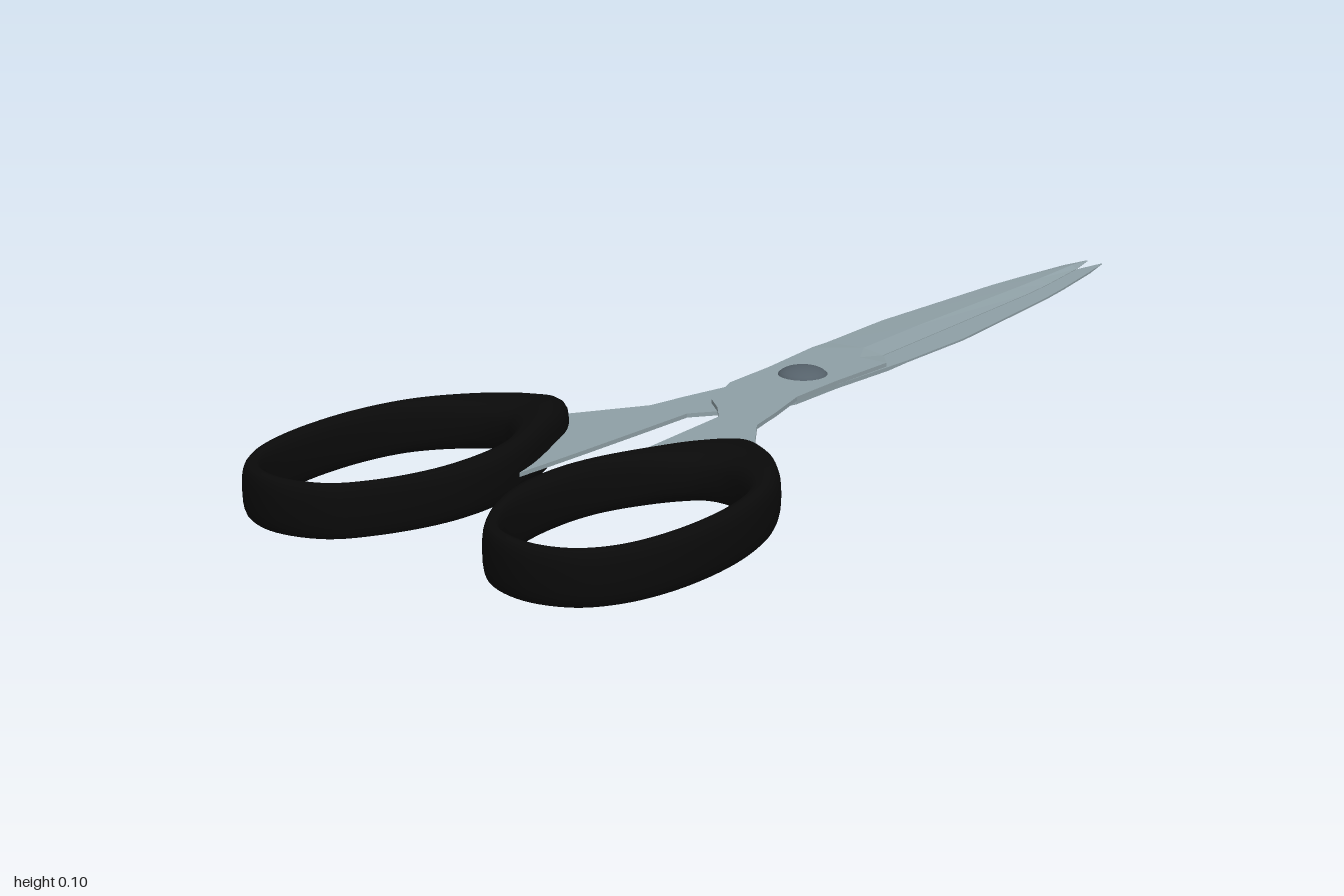
import * as THREE from 'three';

// Skin a list of equal-length rings; closed joins the last ring to the first
function loft(rings, closed) {
  const n = rings[0].length, m = rings.length, index = [];
  for (let i = 0; i < (closed ? m : m - 1); i++) {
    for (let j = 0; j < n; j++) {
      const k = (j + 1) % n, r = ((i + 1) % m) * n;
      const a = i * n + j, b = i * n + k, c = r + k, d = r + j;
      index.push(a, b, c, a, c, d);
    }
  }
  if (!closed) {
    const e = (m - 1) * n;
    for (let j = 1; j < n - 1; j++) index.push(0, j + 1, j, e, e + j, e + j + 1);
  }
  const geo = new THREE.BufferGeometry().setFromPoints(rings.flat());
  geo.setIndex(index);
  geo.computeVertexNormals();
  return geo;
}

const V = (x, y, z) => new THREE.Vector3(x, y, z);
const loop = (pts) => new THREE.CatmullRomCurve3(pts.map(([u, v]) => V(u, 0, v)), true, 'centripetal');

// Steel half: stations along its length as [u, back edge, other edge, ground?]
const STATIONS = [
  [-0.775, 0.06, 0.085], [-0.70, 0.055, 0.12], [-0.61, 0.05, 0.185], [-0.46, 0.043, 0.22],
  [-0.32, 0.037, 0.125], [-0.275, 0, 0.115], [-0.24, -0.04, 0.108], [-0.13, -0.078, 0.08],
  [0, -0.08, 0.08], [0.16, -0.092, 0.088], [0.22, -0.097, 0.04, 1], [0.42, -0.1, 0.035, 1],
  [0.79, -0.07, 0.025, 1], [0.88, -0.058, 0.018, 1], [1.03, -0.034, 0, 1], [1.105, -0.02, -0.017, 1],
];

function bladeGeometry() {
  const h = 0.008;
  const rings = STATIONS.map(([u, v0, v1, ground], i) => {
    const top = i === STATIONS.length - 1 ? 0.002 : h;
    const ridge = v0 + (v1 - v0) * 0.65;
    return [
      V(u, 0, v0), V(u, ground ? top * 0.5 : top, v0), V(u, top, ridge),
      V(u, ground ? 0.001 : top, v1), V(u, 0, v1),
    ];
  });
  return loft(rings, false);
}

// Finger loop: matching outer and inner outlines as [u, v]
const OUTER = [
  [-0.464, 0.215], [-0.487, 0.274], [-0.564, 0.355], [-0.663, 0.419], [-0.809, 0.458], [-0.975, 0.457],
  [-1.084, 0.423], [-1.147, 0.372], [-1.176, 0.279], [-1.147, 0.18], [-1.07, 0.117], [-0.948, 0.064],
  [-0.834, 0.053], [-0.738, 0.07], [-0.618, 0.115], [-0.518, 0.162],
];
const INNER = [
  [-0.627, 0.225], [-0.623, 0.277], [-0.659, 0.34], [-0.72, 0.391], [-0.828, 0.418], [-0.974, 0.415],
  [-1.073, 0.387], [-1.123, 0.339], [-1.138, 0.276], [-1.115, 0.195], [-1.053, 0.145], [-0.957, 0.112],
  [-0.847, 0.104], [-0.761, 0.116], [-0.699, 0.147], [-0.655, 0.187],
];

function handleGeometry() {
  const outer = loop(OUTER), inner = loop(INNER), steps = 96, sides = 20;
  const soft = (x) => Math.sign(x) * Math.abs(x) ** 0.75;
  const rings = [];
  for (let i = 0; i < steps; i++) {
    const o = outer.getPoint(i / steps), n = inner.getPoint(i / steps);
    const ring = [];
    for (let j = 0; j < sides; j++) {
      const a = (j / sides) * Math.PI * 2;
      const p = n.clone().lerp(o, 0.5 + 0.5 * soft(Math.cos(a)));
      p.y = 0.05 * soft(Math.sin(a));
      ring.push(p);
    }
    rings.push(ring);
  }
  return loft(rings, true);
}

export function createModel() {
  const steel = new THREE.MeshStandardMaterial({ color: 0x8fa0a6, flatShading: true });
  const plastic = new THREE.MeshStandardMaterial({ color: 0x0a0a0a });
  const rivetMat = new THREE.MeshStandardMaterial({ color: 0x55616a });
  const blade = bladeGeometry(), handle = handleGeometry();

  const scissors = new THREE.Group();
  scissors.name = 'scissors';

  // Two identical halves, the second turned over about the long axis
  ['upperHalf', 'lowerHalf'].forEach((name, i) => {
    const half = new THREE.Group();
    half.name = name;
    const b = new THREE.Mesh(blade, steel);
    b.name = 'blade';
    const h = new THREE.Mesh(handle, plastic);
    h.name = 'fingerLoop';
    half.add(b, h);
    half.rotation.x = i * Math.PI;
    scissors.add(half);
  });

  // Domed pivot rivet, showing on both faces
  const rivet = new THREE.Mesh(new THREE.SphereGeometry(0.05, 24, 12), rivetMat);
  rivet.name = 'pivotRivet';
  rivet.scale.y = 0.4;
  rivet.position.y = 0.003;
  scissors.add(rivet);

  // Lay the pair diagonally
  scissors.rotation.y = 0.8815;
  scissors.position.set(0.14, 0.05, -0.13);

  const model = new THREE.Group();
  model.name = 'model';
  model.add(scissors);
  return model;
}
